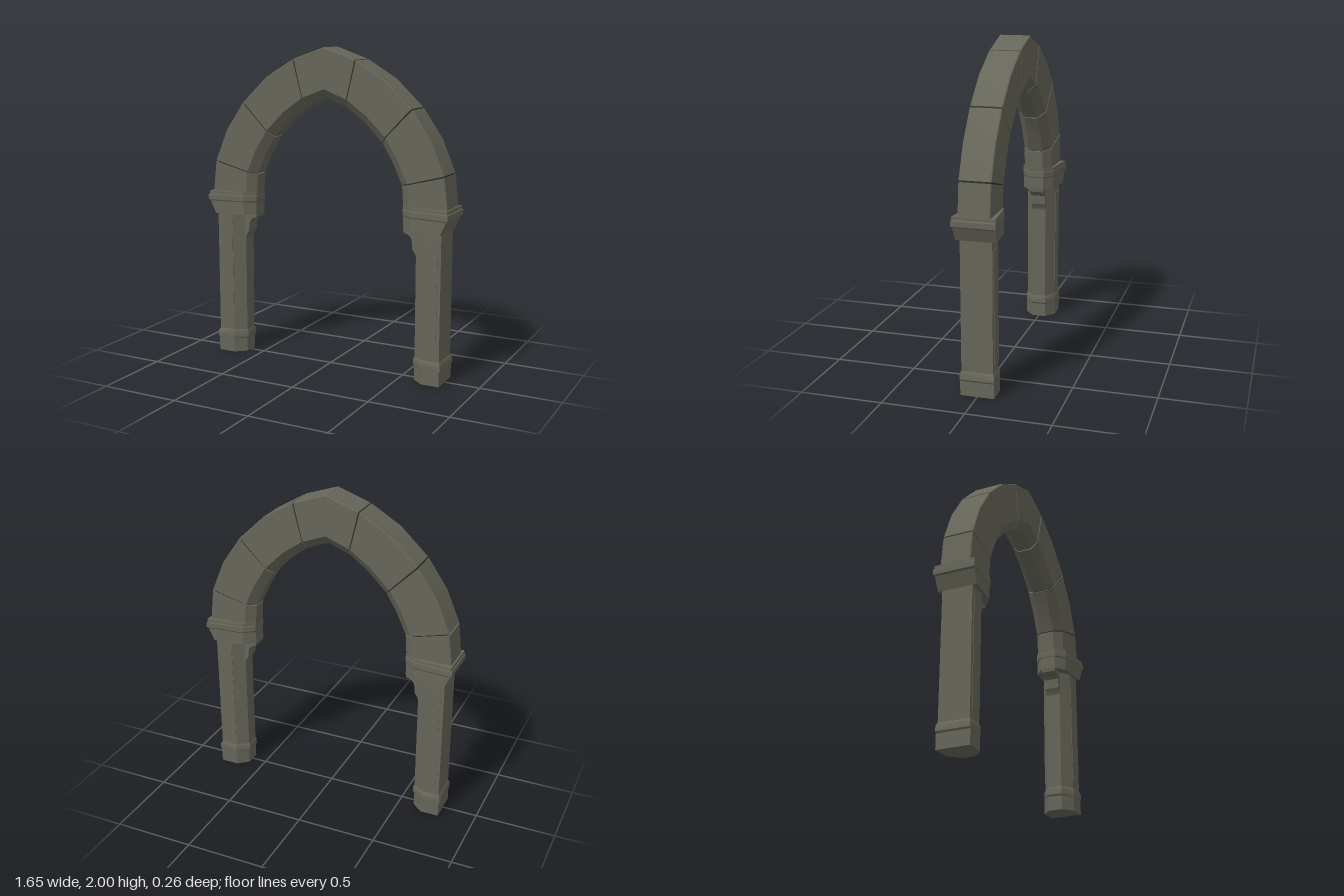
import * as THREE from 'three';
import { toCreasedNormals } from 'three/addons/utils/BufferGeometryUtils.js';

const stone = new THREE.MeshStandardMaterial({ color: 0x66665a });
const mortar = new THREE.MeshStandardMaterial({ color: 0x2c2c27 });

// Closed solid through equal-length rings of [x, y, z]; faces are turned outward by signed volume
function loft(rings, crease = 0.5) {
  const n = rings[0].length, last = rings.length - 1;
  const tris = [];
  for (let r = 0; r < last; r++) {
    for (let i = 0; i < n; i++) {
      const j = (i + 1) % n;
      const a = rings[r][i], b = rings[r][j], c = rings[r + 1][j], d = rings[r + 1][i];
      tris.push([a, b, c], [a, c, d]);
    }
  }
  for (let i = 1; i < n - 1; i++) {
    tris.push([rings[0][0], rings[0][i + 1], rings[0][i]]);
    tris.push([rings[last][0], rings[last][i], rings[last][i + 1]]);
  }
  let volume = 0;
  const v = (p) => new THREE.Vector3(...p);
  for (const [a, b, c] of tris) volume += v(a).dot(v(b).cross(v(c)));
  if (volume < 0) tris.forEach((t) => t.reverse());
  const geo = new THREE.BufferGeometry();
  geo.setAttribute('position', new THREE.Float32BufferAttribute(tris.flat(2), 3));
  return toCreasedNormals(geo, crease);
}

function add(parent, name, geo, material = stone) {
  const mesh = new THREE.Mesh(geo, material);
  mesh.name = name;
  parent.add(mesh);
}

// Arch stations: outer x, y and inner x, y, from springing to crown
const half = [
  [0.81, 1.05, 0.51, 1.05], [0.785, 1.27, 0.50, 1.195], [0.70, 1.47, 0.44, 1.325],
  [0.575, 1.65, 0.37, 1.44], [0.40, 1.815, 0.255, 1.555], [0.21, 1.928, 0.14, 1.64],
  [0, 2.0, 0, 1.695],
];
const stations = [...half, ...half.slice(0, -1).reverse().map(([a, b, c, d]) => [-a, b, -c, d])];

// Half cross-section: fraction from outer to inner face, half depth
const section = [[0, 0.089], [0.015, 0.095], [0.18, 0.095], [0.57, 0.093], [0.82, 0.092], [1, 0.045]];

function archRing([ox, oy, ix, iy], inset = 0) {
  const at = ([t, z], s) => {
    const k = inset + t * (1 - 2 * inset);
    return [ox + (ix - ox) * k, oy + (iy - oy) * k, s * z * (1 - 2 * inset)];
  };
  return [...section.map((p) => at(p, 1)), ...section.slice().reverse().map((p) => at(p, -1))];
}

const mix = (a, b, t) => a.map((v, i) => v + (b[i] - v) * t);

// Six-sided plan with chamfered inner corners
function plan(s, y, outer, shoulder, inner, zOuter, zShoulder, zInner) {
  return [[outer, zOuter], [shoulder, zShoulder], [inner, zInner],
    [inner, -zInner], [shoulder, -zShoulder], [outer, -zOuter]].map(([x, z]) => [s * x, y, z]);
}

function buildPier(s) {
  const pier = new THREE.Group();
  pier.name = s > 0 ? 'leftPier' : 'rightPier';

  // Plinth: y, outer, shoulder, inner, half depths
  add(pier, 'plinth', loft([
    [0, 0.778, 0.665, 0.597, 0.102, 0.102, 0.046],
    [0.09, 0.778, 0.665, 0.597, 0.102, 0.102, 0.046],
    [0.10, 0.785, 0.665, 0.590, 0.103, 0.103, 0.048],
    [0.135, 0.783, 0.665, 0.590, 0.103, 0.103, 0.048],
    [0.15, 0.774, 0.665, 0.597, 0.095, 0.095, 0.045],
  ].map((r) => plan(s, ...r))));

  add(pier, 'shaft', loft([
    [0.14, 0.774, 0.665, 0.597, 0.095, 0.095, 0.045],
    [0.94, 0.774, 0.665, 0.595, 0.095, 0.095, 0.045],
  ].map((r) => plan(s, ...r))));

  // Shallow raised panels, front and back
  for (const side of [1, -1]) {
    const panel = new THREE.BoxGeometry(0.085, 0.68, 0.006);
    panel.translate(s * 0.71, 0.54, side * 0.095);
    add(pier, 'shaftPanel', panel);
  }

  // Corbel under the inner end of the capital
  const profile = [[0.66, 0.94], [0.51, 0.94], [0.515, 0.912], [0.548, 0.898], [0.567, 0.875],
    [0.572, 0.815], [0.592, 0.785], [0.598, 0.765], [0.66, 0.765]];
  add(pier, 'corbel', loft([-0.048, 0.048].map((z) => profile.map(([x, y]) => [s * x, y, z]))));

  // Capital flaring outward, with a lipped top band
  add(pier, 'capital', loft([
    [0.93, 0.775, 0.575, 0.511, 0.122, 0.102, 0.05],
    [1.01, 0.812, 0.575, 0.511, 0.125, 0.102, 0.05],
    [1.018, 0.823, 0.572, 0.508, 0.131, 0.106, 0.053],
    [1.05, 0.823, 0.572, 0.508, 0.131, 0.106, 0.053],
    [1.056, 0.817, 0.574, 0.51, 0.127, 0.104, 0.051],
    [1.075, 0.817, 0.574, 0.51, 0.127, 0.104, 0.051],
  ].map((r) => plan(s, ...r)), 0.3));
  return pier;
}

export function createModel() {
  const model = new THREE.Group();
  model.name = 'pointedArch';
  model.add(buildPier(1), buildPier(-1));

  // Arch stones separated by narrow joints
  const arch = new THREE.Group();
  arch.name = 'arch';
  const joints = [0, 1, 3, 5, 7, 9, 11, 12];
  for (let k = 0; k < joints.length - 1; k++) {
    const a = joints[k], b = joints[k + 1];
    const rings = stations.slice(a, b + 1);
    if (a > 0) rings[0] = mix(stations[a], stations[a + 1], 0.022);
    if (b < 12) rings[rings.length - 1] = mix(stations[b], stations[b - 1], 0.022);
    add(arch, k === 3 ? 'keystone' : 'archStone', loft(rings.map((r) => archRing(r))));
  }
  // Recessed core seen in the joints
  add(arch, 'mortarCore', loft(stations.map((r) => archRing(r, 0.035))), mortar);
  model.add(arch);
  return model;
}
